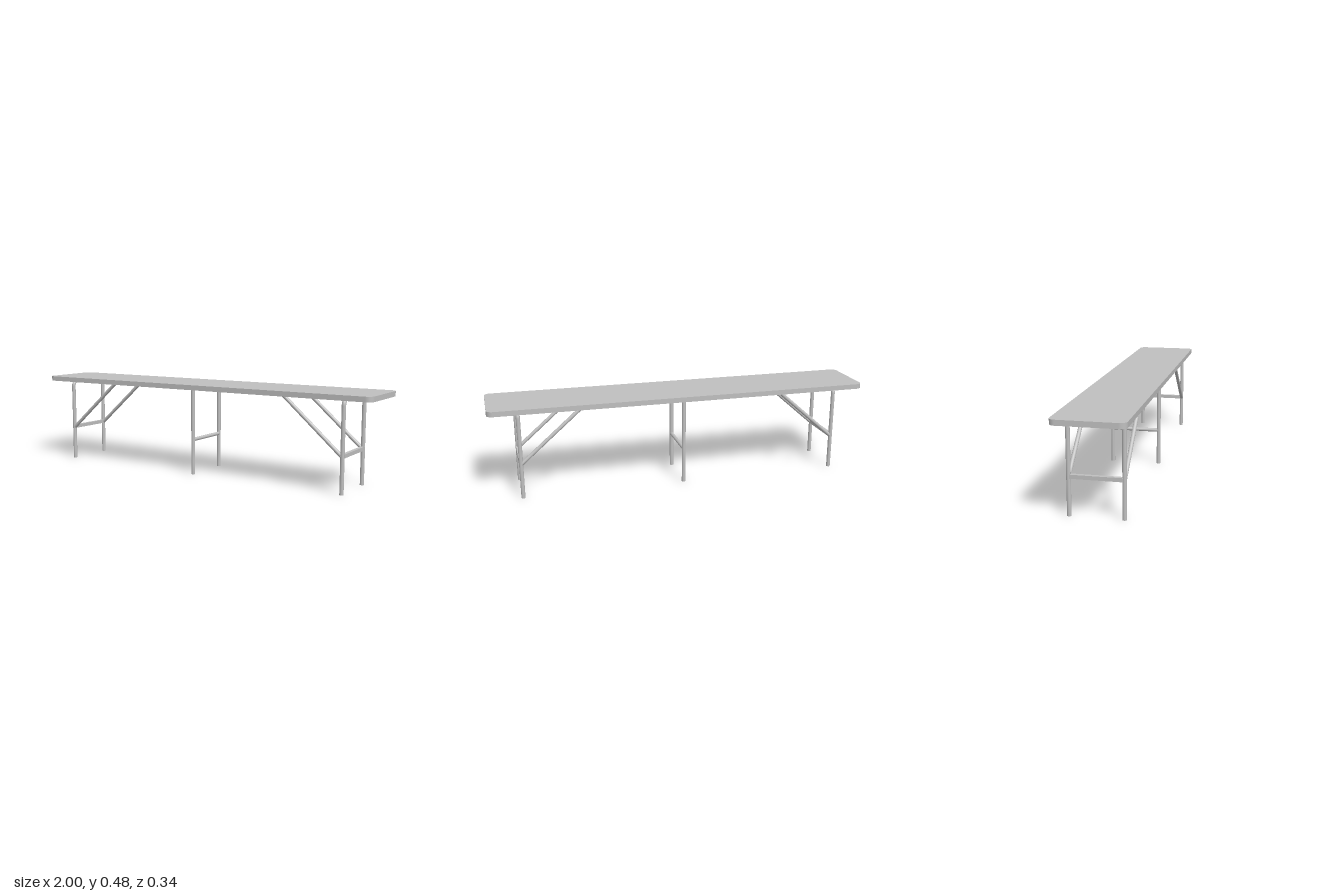
import * as THREE from 'three';

const SEAT_BOTTOM = 0.454, SEAT_TOP = 0.48;
const LEG_X = 0.849, LEG_Z = 0.127, R = 0.0103, BAR_Y = 0.1865;

export function createModel() {
  const bench = new THREE.Group();
  bench.name = 'bench';
  const grey = new THREE.MeshStandardMaterial({ color: 0xbfbfbf });
  grey.name = 'grey';

  const add = (parent, name, geometry) => {
    const mesh = new THREE.Mesh(geometry, grey);
    mesh.name = name;
    parent.add(mesh);
    return mesh;
  };

  // Straight round bar between two points
  const rod = (parent, name, a, b, radius = R) => {
    const dir = b.clone().sub(a);
    const mesh = add(parent, name, new THREE.CylinderGeometry(radius, radius, dir.length(), 24));
    mesh.position.copy(a).add(b).multiplyScalar(0.5);
    mesh.quaternion.setFromUnitVectors(new THREE.Vector3(0, 1, 0), dir.normalize());
  };
  const v = (x, y, z) => new THREE.Vector3(x, y, z);

  // Seat: rounded rectangle plank
  const w = 1, d = 0.169, c = 0.032;
  const outline = new THREE.Shape();
  outline.absarc(w - c, d - c, c, 0, Math.PI / 2);
  outline.absarc(-w + c, d - c, c, Math.PI / 2, Math.PI);
  outline.absarc(-w + c, -d + c, c, Math.PI, Math.PI * 1.5);
  outline.absarc(w - c, -d + c, c, Math.PI * 1.5, Math.PI * 2);
  const plank = new THREE.ExtrudeGeometry(outline, {
    depth: SEAT_TOP - SEAT_BOTTOM, bevelEnabled: false, curveSegments: 12,
  });
  plank.rotateX(-Math.PI / 2);
  add(bench, 'seat', plank).position.y = SEAT_BOTTOM;

  // End frames: bent tube, crossbar and two diagonal braces
  const bend = 0.032, topY = 0.4575;
  for (const side of [1, -1]) {
    const frame = new THREE.Group();
    frame.name = side > 0 ? 'leftEndFrame' : 'rightEndFrame';
    bench.add(frame);
    const x = side * LEG_X;

    for (const s of [1, -1]) {
      rod(frame, 'endLeg', v(x, 0, s * LEG_Z), v(x, topY - bend, s * LEG_Z));

      // Quarter bend from the leg into the top rail
      const arc = new THREE.TorusGeometry(bend, R, 16, 12, Math.PI / 2);
      const corner = add(frame, 'bend', arc);
      corner.rotation.y = -s * Math.PI / 2;
      corner.position.set(x, topY - bend, s * (LEG_Z - bend));

      rod(frame, 'brace', v(x, BAR_Y - 0.005, s * LEG_Z),
        v(side * 0.524, SEAT_BOTTOM + 0.01, s * LEG_Z), 0.0095);
    }
    rod(frame, 'topRail', v(x, topY, LEG_Z - bend), v(x, topY, bend - LEG_Z));
    add(frame, 'crossbar', new THREE.BoxGeometry(0.019, 0.019, 2 * LEG_Z - R))
      .position.set(x, BAR_Y, 0);
  }

  // Middle frame: two straight legs and a crossbar
  const middle = new THREE.Group();
  middle.name = 'middleFrame';
  bench.add(middle);
  for (const s of [1, -1]) {
    rod(middle, 'middleLeg', v(0, 0, s * LEG_Z), v(0, SEAT_BOTTOM + 0.002, s * LEG_Z));
  }
  rod(middle, 'crossbar', v(0, BAR_Y, LEG_Z), v(0, BAR_Y, -LEG_Z), 0.0095);

  return bench;
}
